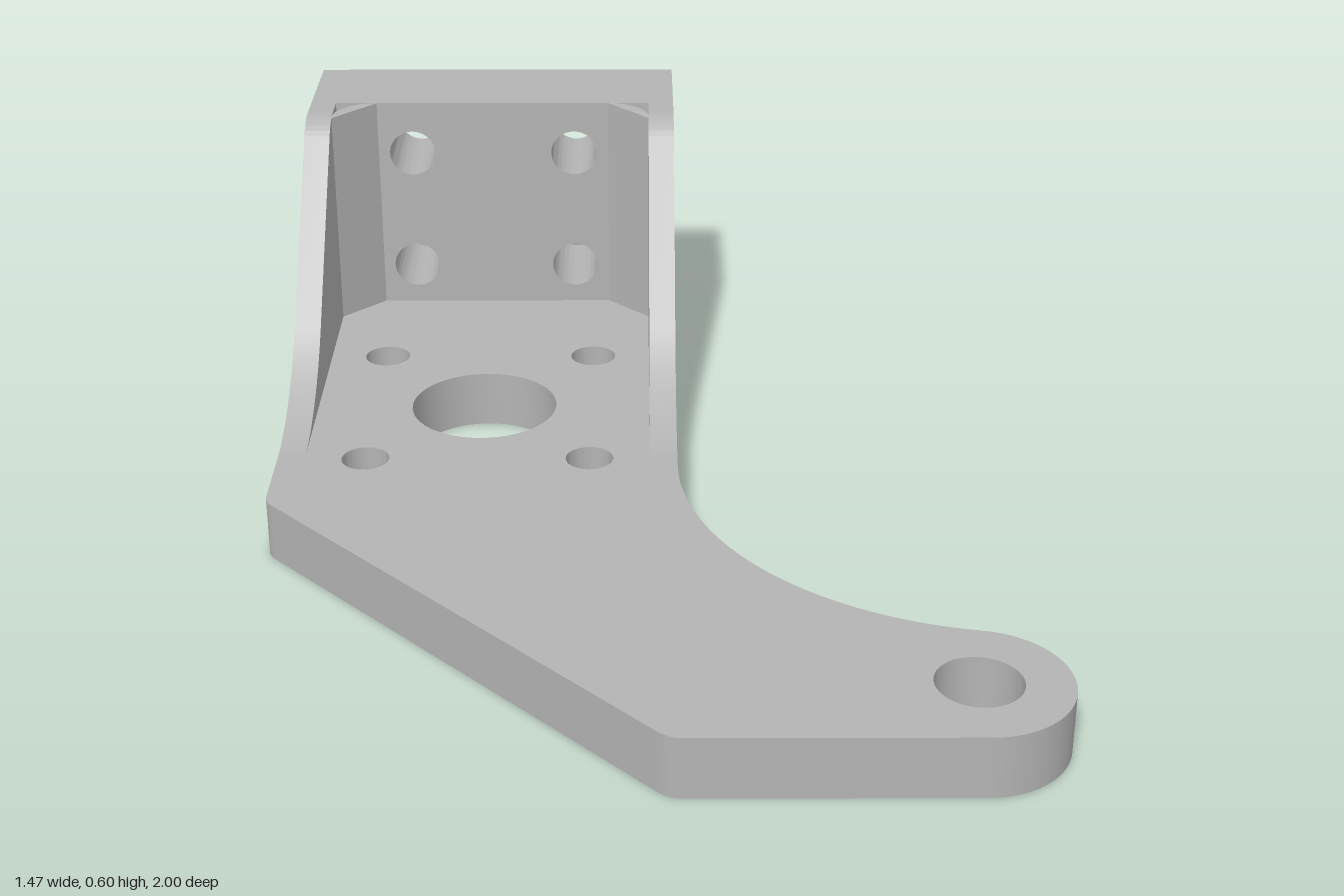
import * as THREE from 'three';
import { toCreasedNormals } from 'three/addons/utils/BufferGeometryUtils.js';

const PLATE = 0.12, TOP = 0.6;          // plate thickness, full height
const X0 = -0.735, X1 = 0.07;           // outer sides of the housing
const IN0 = -0.68, IN1 = 0.015;         // inner sides of the pocket
const BACK = -1, POCKET = -0.765;       // rear face, rear wall of the pocket

const hole = (shape, x, y, r) =>
  shape.holes.push(new THREE.Path().absarc(x, y, r, 0, Math.PI * 2, true));

const extrude = (shape, depth) =>
  new THREE.ExtrudeGeometry(shape, { depth, bevelEnabled: false, curveSegments: 28 });

// Extrude an (x, z) outline between two heights
const extrudeUp = (shape, y0, y1) =>
  extrude(shape, y1 - y0).rotateX(Math.PI / 2).translate(0, y1, 0);

export function createModel() {
  const group = new THREE.Group();
  group.name = 'mountingBracket';
  const metal = new THREE.MeshStandardMaterial({ color: 0xb4b4b4 });
  metal.name = 'grey metal';

  const add = (name, geometry) => {
    const mesh = new THREE.Mesh(toCreasedNormals(geometry, 0.5), metal);
    mesh.name = name;
    group.add(mesh);
  };

  // Base plate with curved arm and rounded tip
  const tip = { x: 0.57, z: 0.835, r: 0.165 };
  const bend = { x: 0.7, z: 0.05, r: 0.63 };
  const join = Math.atan2(tip.z - bend.z, tip.x - bend.x);
  const base = new THREE.Shape();
  base.moveTo(X0, BACK);
  base.lineTo(X1, BACK);
  base.lineTo(X1, bend.z);
  base.absarc(bend.x, bend.z, bend.r, Math.PI, join, true);
  base.absarc(tip.x, tip.z, tip.r, join - Math.PI, Math.PI / 2, false);
  base.lineTo(0.065, 1);
  base.quadraticCurveTo(0.037, 1, 0.015, 0.975);
  base.lineTo(-0.72, 0.213);
  base.quadraticCurveTo(X0, 0.198, X0, 0.178);
  base.closePath();
  hole(base, tip.x, tip.z, 0.078);
  hole(base, -0.332, -0.222, 0.151);
  for (const x of [-0.558, -0.107])
    for (const z of [-0.464, 0.018]) hole(base, x, z, 0.048);
  add('basePlate', extrudeUp(base, 0, PLATE));

  // Thick rear block with four through holes
  const rear = new THREE.Shape();
  rear.moveTo(X0, PLATE);
  rear.lineTo(X1, PLATE);
  rear.lineTo(X1, TOP);
  rear.lineTo(X0, TOP);
  rear.closePath();
  for (const x of [-0.514, -0.152])
    for (const y of [0.211, 0.482]) hole(rear, x, y, 0.051);
  add('rearBlock', extrude(rear, POCKET - BACK).translate(0, 0, BACK));

  // Side walls: profile drawn in (-z, y), sweeping up at 45 degrees
  const wall = new THREE.Shape();
  wall.moveTo(-0.02, PLATE);
  wall.absarc(-0.02, PLATE + 0.48, 0.48, -Math.PI / 2, -Math.PI / 4, false);
  wall.absarc(0.7, TOP - 0.1, 0.1, Math.PI * 0.75, Math.PI / 2, true);
  wall.lineTo(-POCKET, TOP);
  wall.lineTo(-POCKET, PLATE);
  wall.closePath();
  for (const [name, a, b] of [['rightWall', X0, IN0], ['leftWall', IN1, X1]])
    add(name, extrude(wall, b - a).rotateY(Math.PI / 2).translate(a, 0, 0));

  // Rounded inner corners of the pocket, trimmed to the wall's top edge
  const r = 0.09;
  for (const [name, x, s] of [['rightCorner', IN0, 1], ['leftCorner', IN1, -1]]) {
    const corner = new THREE.Shape();
    corner.moveTo(x, POCKET);
    corner.absarc(x + s * r, POCKET + r, r, -Math.PI / 2, s > 0 ? -Math.PI : 0, s > 0);
    corner.closePath();
    const geometry = extrudeUp(corner, PLATE, TOP);
    const p = geometry.attributes.position;
    for (let i = 0; i < p.count; i++) {
      const over = Math.max(0, p.getZ(i) + 0.7);
      if (p.getY(i) > 0.5) p.setY(i, TOP - 0.1 + Math.sqrt(0.01 - over * over));
    }
    add(name, geometry);
  }

  return group;
}
